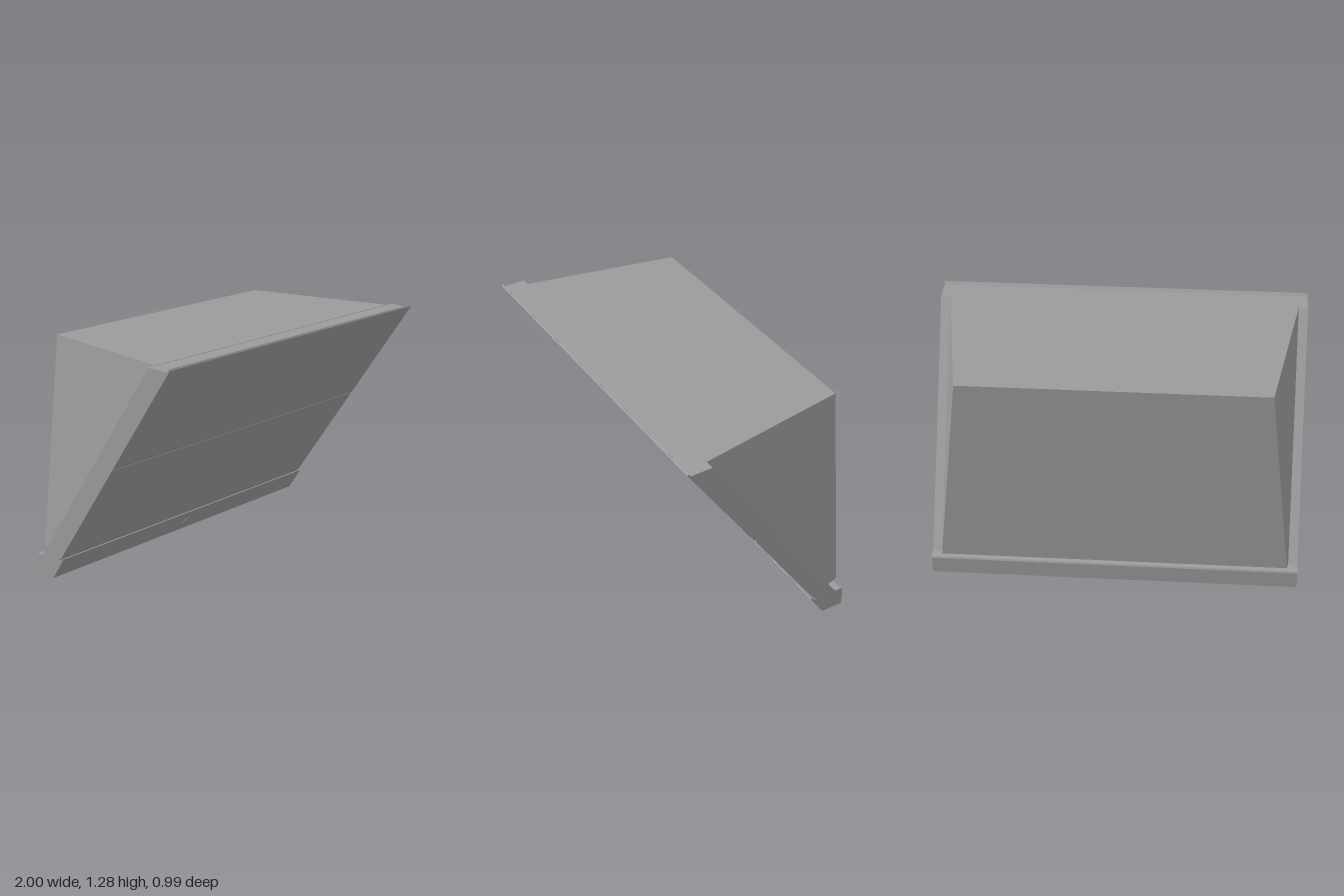
import * as THREE from 'three';

const material = new THREE.MeshStandardMaterial({ color: 0x9b9b9b, flatShading: true });

// Extrudes a [z, y] outline across x, centred on x = 0
function profile(name, points, width) {
  const shape = new THREE.Shape(points.map(([z, y]) => new THREE.Vector2(z, y)));
  const geometry = new THREE.ExtrudeGeometry(shape, { depth: width, bevelEnabled: false });
  geometry.rotateY(-Math.PI / 2).translate(width / 2, 0, 0);
  const mesh = new THREE.Mesh(geometry, material);
  mesh.name = name;
  return mesh;
}

// Housing: a box whose corners move to taper towards the rear
function housing() {
  const geometry = new THREE.BoxGeometry(2, 2, 2);
  const p = geometry.attributes.position;
  for (let i = 0; i < p.count; i++) {
    const top = p.getY(i) > 0, front = p.getZ(i) > 0;
    const [x, y, z] = front
      ? (top ? [0.95, 1.265, 0.354] : [0.95, 0.125, -0.438])
      : (top ? [0.8, 1.265, -0.497] : [0.94, 0.136, -0.497]);
    p.setXYZ(i, Math.sign(p.getX(i)) * x, y, z);
  }
  geometry.computeVertexNormals();
  const mesh = new THREE.Mesh(geometry, material);
  mesh.name = 'rearHousing';
  return mesh;
}

export function createModel() {
  const group = new THREE.Group();
  const faceZ = (y) => -0.394 + y * 0.697; // sloping front plane

  // Thick frame behind the sloping face
  group.add(profile('frame', [
    [faceZ(0.112) - 0.011, 0.112], [-0.447, 0.112], [0.352, 1.263], [faceZ(1.259) - 0.011, 1.259],
  ], 2));

  // Two thin front panels; the upper one ends in a raised lip
  const panel = (name, y0, y1) => profile(name, [
    [faceZ(y0), y0], [faceZ(y0) - 0.006, y0 + 0.008],
    [faceZ(y1) - 0.006, y1 + 0.008], [faceZ(y1), y1],
  ], 2);
  group.add(panel('lowerPanel', 0.112, 0.691), panel('upperPanel', 0.695, 1.268));

  // Foot bar with a front lip standing proud of the panel and a rounded rear corner
  group.add(profile('footBar', [
    [-0.372, 0], [-0.497, 0], [-0.497, 0.1], [-0.492, 0.109], [-0.48, 0.112],
    [-0.312, 0.112], [-0.295, 0.127], [-0.289, 0.125],
  ], 2));

  group.add(housing());

  // Small flush button on the sloping front of the bar
  const button = new THREE.Mesh(new THREE.CylinderGeometry(0.025, 0.025, 0.004, 16), material);
  button.name = 'button';
  button.position.set(0, 0.055, -0.372 + 0.055 * 0.664);
  button.rotation.x = Math.PI / 2 + Math.atan(0.664);
  group.add(button);

  return group;
}
